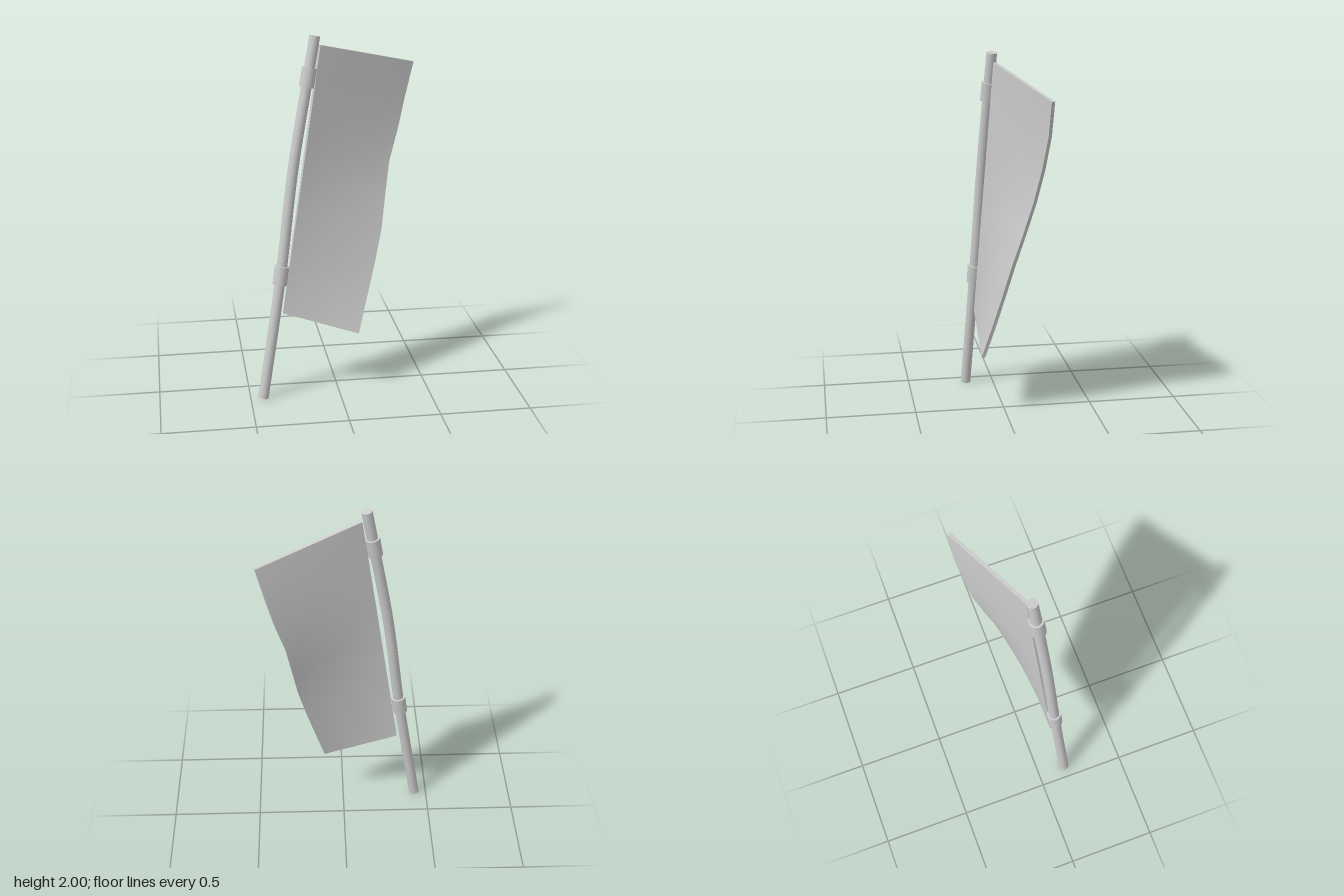
import * as THREE from 'three';

const vec = (p) => new THREE.Vector3(...p);

export function createModel() {
  const group = new THREE.Group();
  const material = new THREE.MeshStandardMaterial({ color: 0xcccccc });
  const add = (name, geometry, parent = group) => {
    const mesh = new THREE.Mesh(geometry, material);
    mesh.name = name;
    parent.add(mesh);
    return mesh;
  };

  // Slightly bowed, leaning pole
  const path = new THREE.CatmullRomCurve3([
    [-0.43, 0.005, 0.162], [-0.32, 0.7, 0.122], [-0.242, 1.3, 0.09],
    [-0.156, 1.78, 0.06], [-0.117, 1.995, 0.045],
  ].map(vec));
  const radius = 0.029;
  const pole = new THREE.Group();
  pole.name = 'pole';
  group.add(pole);
  add('poleShaft', new THREE.TubeGeometry(path, 16, radius, 20), pole);
  for (const [name, t, sign] of [['poleBottom', 0, -1], ['poleTop', 1, 1]]) {
    const cap = add(name, new THREE.CircleGeometry(radius, 20), pole);
    cap.position.copy(path.getPointAt(t));
    cap.quaternion.setFromUnitVectors(
      new THREE.Vector3(0, 0, 1), path.getTangentAt(t).multiplyScalar(sign));
  }

  // Collars around the pole
  for (const [name, t] of [['lowerCollar', 0.353], ['upperCollar', 0.892]]) {
    const collar = add(name, new THREE.CylinderGeometry(0.04, 0.04, 0.104, 20));
    collar.position.copy(path.getPointAt(t));
    collar.quaternion.setFromUnitVectors(new THREE.Vector3(0, 1, 0), path.getTangentAt(t));
  }

  // Twisted banner panel: straight inner edge, waving outer edge (bottom to top)
  const rows = 8, columns = 6;
  const innerBottom = vec([-0.31, 0.485, 0.115]), innerTop = vec([-0.09, 1.945, 0.033]);
  const outer = [
    [0.11, 0.345, 0.13], [0.16, 0.53, 0.08], [0.21, 0.715, 0.033],
    [0.255, 0.9, -0.013], [0.283, 1.08, -0.067], [0.312, 1.26, -0.117],
    [0.365, 1.44, -0.15], [0.408, 1.62, -0.174], [0.453, 1.805, -0.18],
  ].map(vec);
  const geometry = new THREE.BoxGeometry(1, 1, 1, columns, rows, 1);
  const position = geometry.attributes.position;
  for (let i = 0; i < position.count; i++) {
    const u = position.getX(i) + 0.5, v = position.getY(i) + 0.5;
    const inner = innerBottom.clone().lerp(innerTop, v);
    const edge = outer[Math.round(v * rows)];
    const across = edge.clone().sub(inner);
    const normal = new THREE.Vector3(-across.z, 0, across.x).normalize();
    const p = inner.lerp(edge, u).addScaledVector(normal, position.getZ(i) * 0.02);
    position.setXYZ(i, p.x, p.y, p.z);
  }
  geometry.computeVertexNormals();
  add('banner', geometry);

  return group;
}
